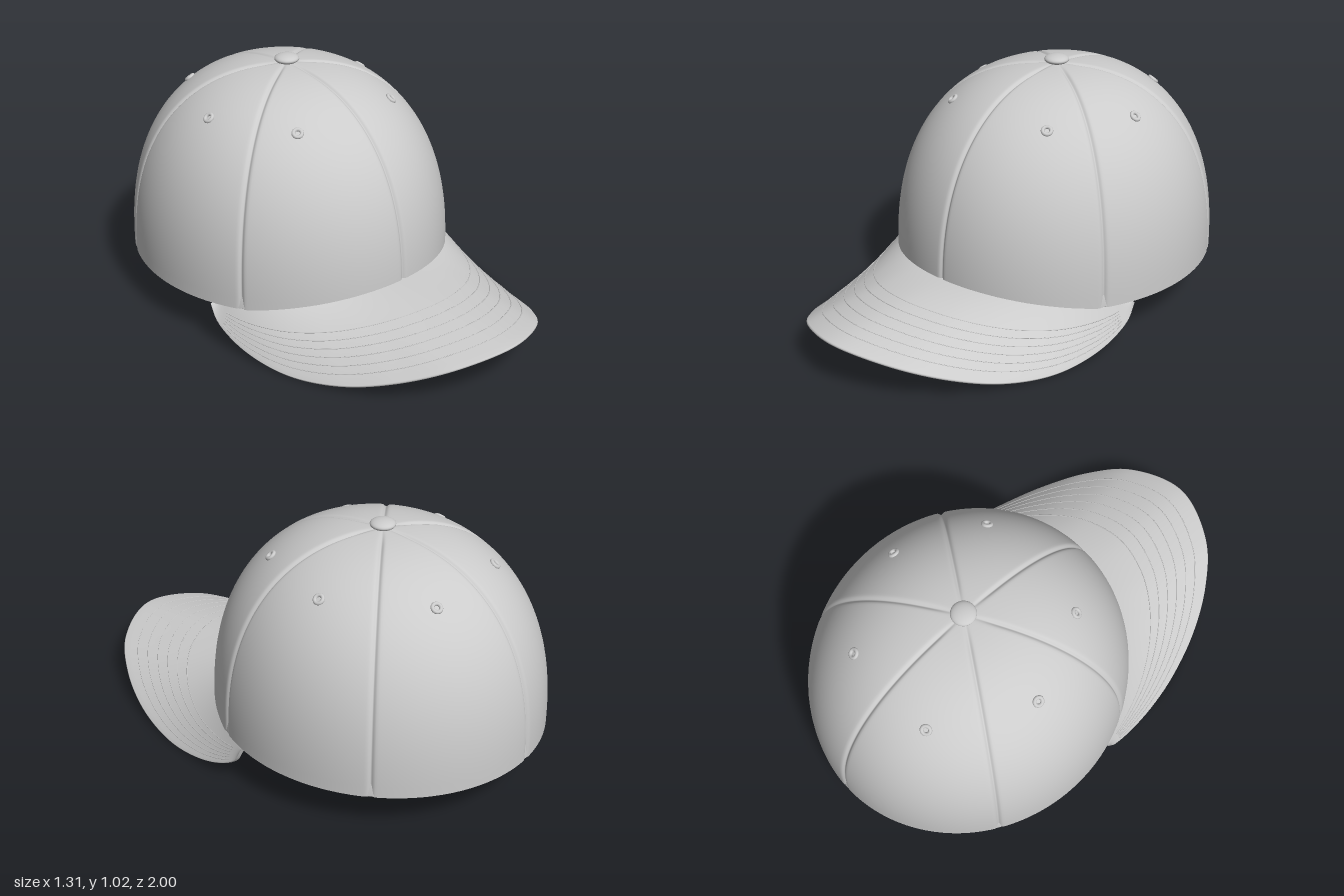
import * as THREE from 'three';
import { mergeVertices } from 'three/addons/utils/BufferGeometryUtils.js';

const RX = 0.655, RZ = 0.705, H = 0.81, BASE = 0.18, CZ = -0.295, P = 2.4;
const PANEL = Math.PI / 3;
const material = new THREE.MeshStandardMaterial({ color: 0xcccccc, side: THREE.DoubleSide });

function mesh(name, geometry) {
  const m = new THREE.Mesh(geometry, material);
  m.name = name;
  return m;
}

// Smooth surface from fn(u, v) -> Vector3, facing du x dv
function surface(fn, nu, nv) {
  const pos = [], index = [];
  for (let j = 0; j <= nv; j++)
    for (let i = 0; i <= nu; i++) pos.push(...fn(i / nu, j / nv).toArray());
  for (let j = 0; j < nv; j++)
    for (let i = 0; i < nu; i++) {
      const a = j * (nu + 1) + i, b = a + 1, c = a + nu + 1, d = c + 1;
      index.push(a, b, d, a, d, c);
    }
  const g = new THREE.BufferGeometry();
  g.setAttribute('position', new THREE.Float32BufferAttribute(pos, 3));
  g.setIndex(index);
  const merged = mergeVertices(g, 1e-5);
  merged.computeVertexNormals();
  return merged;
}

// Point on the dome: angle a (front = 90 degrees), s from rim to top
function dome(a, s, inset = 0) {
  const c = Math.max(0, Math.cos(s * Math.PI / 2)), r = Math.pow(c, 2 / P);
  const h = Math.pow(Math.sin(s * Math.PI / 2), 2 / P);
  return new THREE.Vector3(
    (RX - inset) * r * Math.cos(a),
    BASE + (H - inset) * h,
    CZ + (RZ - inset) * r * Math.sin(a));
}

// Six panels, columns crowded towards the seams; insetAt(distance to seam)
function panels(insetAt, direction) {
  return surface((u, s) => {
    const k = Math.min(5, Math.floor(u * 6 + 1e-9)), t = u * 6 - k;
    const w = t - 0.9 * Math.sin(2 * Math.PI * t) / (2 * Math.PI);
    const r = Math.pow(Math.max(0, Math.cos(s * Math.PI / 2)), 2 / P);
    const d = Math.min(w, 1 - w) * PANEL * 0.68 * r;
    const a = Math.PI / 2 + direction * (k + w) * PANEL;
    return dome(a, s, insetAt(d, Math.min(1, r / 0.2)));
  }, 192, 48);
}

// Brim outer edge as (z, y) from the side to the tip; x follows an ellipse
const side = [[-0.06, 0.18], [-0.025, 0.115], [0.085, 0.055], [0.24, 0.019], [0.4, 0.012],
  [0.6, 0.042], [0.78, 0.1], [0.92, 0.16]].map(([z, y]) =>
  new THREE.Vector3(0.63 * Math.sqrt(1 - ((z + 0.06) / 1.06) ** 2), y, z));
const brimEdge = new THREE.CatmullRomCurve3([
  ...side, new THREE.Vector3(0, 0.197, 1),
  ...side.slice().reverse().map(p => new THREE.Vector3(-p.x, p.y, p.z))]);
brimEdge.arcLengthDivisions = 800;

// Point on the top of the brim: u from left to right, v from crown to edge
function brimTop(u, v) {
  const a0 = Math.asin((-0.06 - CZ) / RZ), a = a0 + u * (Math.PI - 2 * a0);
  const x = RX * 0.985 * Math.cos(a);
  const inner = new THREE.Vector3(x, 0.247 - 0.17 * x * x, CZ + RZ * 0.985 * Math.sin(a));
  return inner.lerp(brimEdge.getPointAt(u), v);
}

function brimNormal(u, v) {
  const e = 0.004, uc = THREE.MathUtils.clamp(u, 0.012, 0.988);
  const du = brimTop(uc + e, v).sub(brimTop(uc - e, v));
  const dv = brimTop(uc, v + e).sub(brimTop(uc, v - e));
  return du.cross(dv).normalize();
}

export function createModel() {
  const cap = new THREE.Group();
  cap.name = 'cap';

  // Crown: grooved outside, taped seams inside
  cap.add(mesh('crown', panels((d, fade) => 0.009 * fade * Math.exp(-((d / 0.009) ** 2)), -1)));
  cap.add(mesh('lining', panels((d, fade) => 0.02 + 0.009 * fade * Math.exp(-((d / 0.016) ** 4)), 1)));

  // Sweatband: rounded loop closing the rim
  const bandSection = [[0.001, 0.004], [0.004, 0], [0.026, 0], [0.034, 0.006], [0.036, 0.03],
    [0.035, 0.075], [0.028, 0.083], [0.016, 0.083], [0.008, 0.05], [0.001, 0.004]];
  cap.add(mesh('sweatband', surface((u, v) => {
    const [inset, y] = bandSection[Math.round(v * 9)], a = u * Math.PI * 2;
    return new THREE.Vector3((RX - inset) * Math.cos(a), BASE + y, CZ + (RZ - inset) * Math.sin(a));
  }, 128, 9)));

  // Brim: top sheet, rounded edge, underside
  const thick = 0.012, rows = [];
  for (let i = 0; i <= 16; i++) rows.push([i / 16 * 0.99, 0]);
  rows.push([0.998, 0.15], [1.002, 0.5], [0.998, 0.85]);
  for (let i = 16; i >= 0; i--) rows.push([i / 16 * 0.99, 1]);
  const last = rows.length - 1;
  cap.add(mesh('brim', surface((u, t) => {
    const [v, depth] = rows[Math.round(t * last)];
    return brimTop(u, v).addScaledVector(brimNormal(u, Math.min(v, 0.99)), -thick * depth);
  }, 120, last)));

  // Stitch rows on the brim
  const stitching = new THREE.Group();
  stitching.name = 'brimStitching';
  for (let r = 0; r < 6; r++) {
    const pts = [];
    for (let i = 0; i <= 60; i++) pts.push(brimTop(0.04 + 0.92 * i / 60, 0.36 + 0.1 * r));
    stitching.add(mesh('stitchRow', new THREE.TubeGeometry(new THREE.CatmullRomCurve3(pts), 120, 0.002, 5)));
  }
  cap.add(stitching);

  // Eyelets, one per panel
  for (const deg of [0, 52, 128, 180, 240, 300]) {
    const a = THREE.MathUtils.degToRad(deg), s = 0.602;
    const r = Math.pow(Math.cos(s * Math.PI / 2), 2 / P), h = Math.pow(Math.sin(s * Math.PI / 2), 2 / P);
    const n = new THREE.Vector3(
      r ** (P - 1) * Math.cos(a) / RX, h ** (P - 1) / H, r ** (P - 1) * Math.sin(a) / RZ).normalize();
    const eyelet = mesh('eyelet', new THREE.TorusGeometry(0.017, 0.008, 10, 28));
    eyelet.position.copy(dome(a, s)).addScaledVector(n, 0.002);
    eyelet.quaternion.setFromUnitVectors(new THREE.Vector3(0, 0, 1), n);
    cap.add(eyelet);
  }

  // Top button
  const button = mesh('button', new THREE.SphereGeometry(0.052, 32, 16));
  button.scale.y = 0.38;
  button.position.set(0, 1.006, CZ);
  cap.add(button);

  return cap;
}
